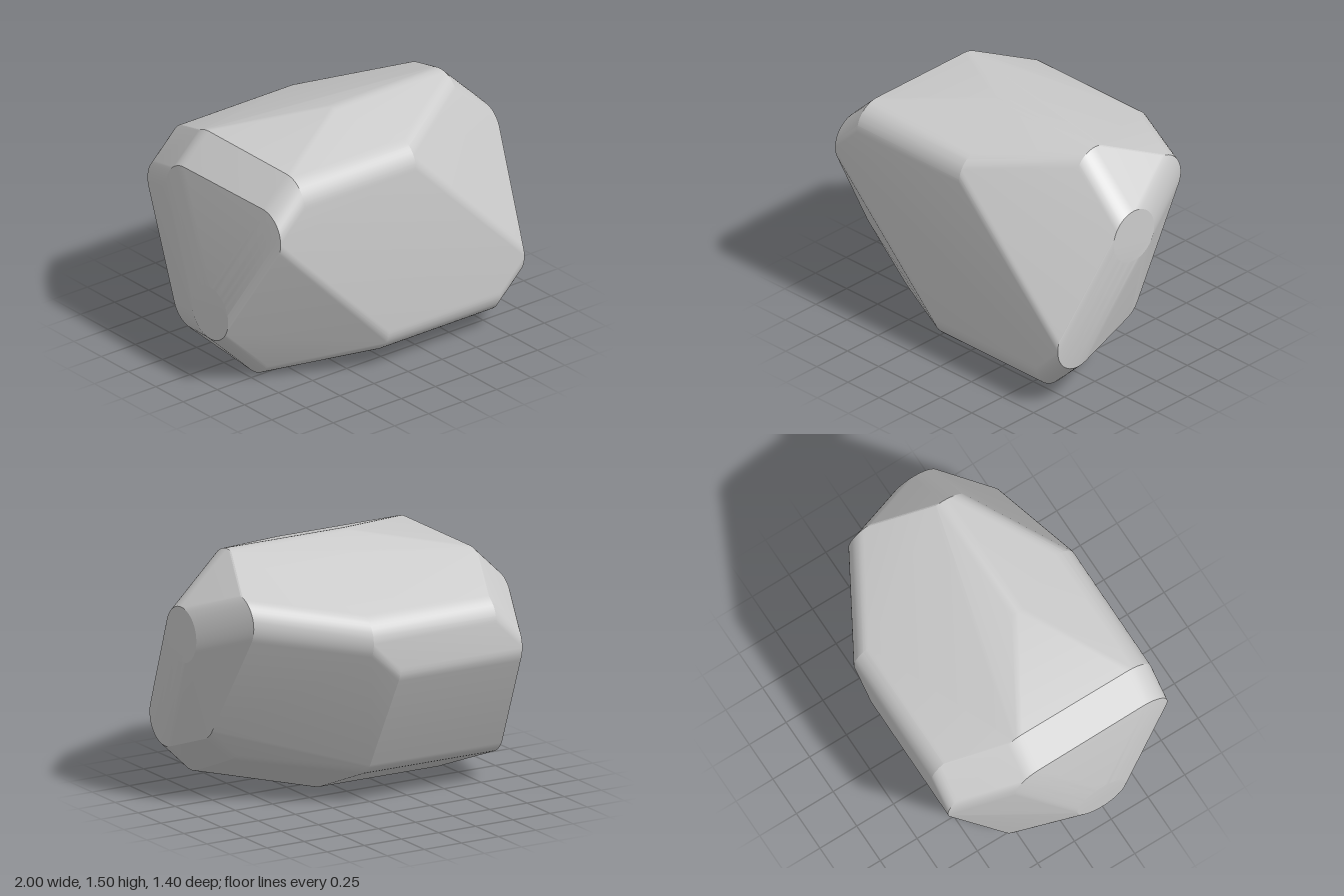
import * as THREE from 'three';
import { ConvexGeometry } from 'three/addons/geometries/ConvexGeometry.js';
import { toCreasedNormals } from 'three/addons/utils/BufferGeometryUtils.js';

const RADIUS = 0.165;
const SIDES = 48;

// Disc centres of the front half; each is repeated by a half turn about the z axis
const frontDiscs = [
  [1, 1.04, 0.185],
  [0.895, 0.44, 0.535],
  [0.72, 0.27, 0.535],
  [0.1, 1.235, 0.535],
  [0.11, 0.165, 0.185],
  [0.69, 1.34, 0.185],
];

// Disc centres of the back half
const backDiscs = [
  [-0.72, 1.235, -0.175], [-0.9, 1.06, -0.175],
  [-0.575, 1.085, -0.535], [-0.75, 0.915, -0.535],
  [0.25, 1.085, -0.535], [0.07, 0.915, -0.535],
  [0.845, 1.18, -0.19],
  [0.055, 0.33, -0.2], [-0.83, 0.33, -0.2],
  [0.71, 0.42, 0.18], [0.88, 0.57, 0.18],
];

// Rim points of a disc that faces along x
function discRim([x, y, z]) {
  const points = [];
  for (let i = 0; i < SIDES; i++) {
    const a = (i / SIDES) * Math.PI * 2;
    points.push(new THREE.Vector3(x, y + RADIUS * Math.sin(a), z + RADIUS * Math.cos(a)));
  }
  return points;
}

export function createModel() {
  const model = new THREE.Group();
  model.name = 'roundedBlock';

  const turned = frontDiscs.map(([x, y, z]) => [-x, 1.505 - y, z]);
  const rims = [...frontDiscs, ...turned, ...backDiscs].flatMap(discRim);

  // Faceted body: the skin stretched over all discs, rounded about x only
  const geometry = toCreasedNormals(new ConvexGeometry(rims), 0.2);
  const body = new THREE.Mesh(geometry, new THREE.MeshStandardMaterial({ color: 0xcccccc }));
  body.name = 'body';
  model.add(body);
  return model;
}
